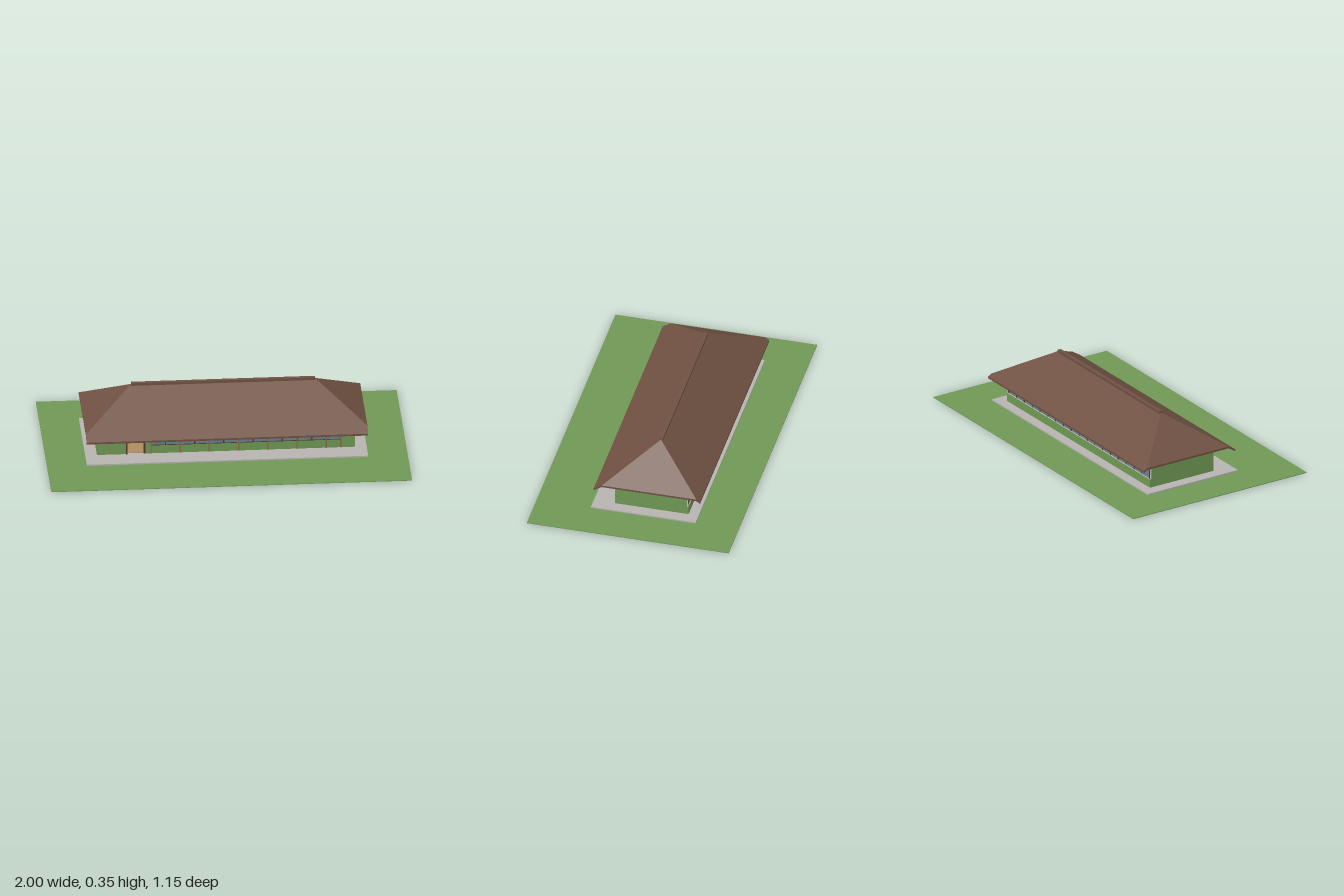
import * as THREE from 'three';

export function createModel() {
  const model = new THREE.Group();
  model.name = 'longHouse';

  const mat = (name, color) => {
    const m = new THREE.MeshStandardMaterial({ color });
    m.name = name;
    return m;
  };
  const grass = mat('grass green', 0x6f9755);
  const wallGreen = mat('wall green', 0x6f9853);
  const concrete = mat('concrete grey', 0xb6b3b1);
  const roofBrown = mat('roof brown', 0x6f5142);
  const darkWood = mat('dark wood', 0x4e382c);
  const postWood = mat('post wood', 0x8a6a48);
  const floorWood = mat('floor wood', 0xb08c60);
  const glass = mat('glass blue', 0x6a7f90);
  const pale = mat('pale trim', 0xcbbcb2);

  // Box given by its minimum and maximum along each axis
  const box = (name, material, x0, x1, y0, y1, z0, z1, parent = model) => {
    const mesh = new THREE.Mesh(new THREE.BoxGeometry(x1 - x0, y1 - y0, z1 - z0), material);
    mesh.position.set((x0 + x1) / 2, (y0 + y1) / 2, (z0 + z1) / 2);
    mesh.name = name;
    parent.add(mesh);
    return mesh;
  };
  const group = (name) => {
    const g = new THREE.Group();
    g.name = name;
    model.add(g);
    return g;
  };

  // Ground and paved base
  box('lawn', grass, -1, 1, 0, 0.004, -0.575, 0.575);
  box('pavedBase', concrete, -0.78, 0.78, 0.004, 0.012, -0.332, 0.265);
  box('floor', floorWood, -0.705, 0.705, 0.012, 0.014, -0.265, 0.135);

  const W = 0.715, F = 0.145, B = -0.275, T = 0.01;
  const base = 0.012, sill = 0.06, head = 0.135, top = 0.19;

  // Walls: solid ends, front with an open entry and a window band, low back wall
  const walls = group('walls');
  for (const s of [-1, 1]) {
    const x = s * (W - T / 2);
    box('endWall', wallGreen, x - T / 2, x + T / 2, base, top, B + T, F, walls);
  }
  const first = -0.416, last = 0.637, inner = W - T;
  box('frontWallLeftOfEntry', wallGreen, -inner, -0.55, base, head, F - T, F, walls);
  box('frontWallRightOfEntry', wallGreen, -0.45, first, base, head, F - T, F, walls);
  box('frontWallUnderWindows', wallGreen, first, last, base, sill, F - T, F, walls);
  box('frontWallEnd', wallGreen, last, inner, base, head, F - T, F, walls);
  box('frontWallTop', wallGreen, -inner, inner, head, top, F - T, F, walls);
  box('backWallUnderWindows', wallGreen, -W, W, base, sill, B, B + T, walls);
  box('backWallTop', wallGreen, -inner, inner, 0.145, top, B + T, B + 2 * T, walls);

  // Front windows: thirteen framed panes, with a full post at every second one
  const frontWindows = group('frontWindows');
  const count = 13, pitch = (last - first) / count;
  for (let i = 0; i < count; i++) {
    const x = first + i * pitch;
    box('pane', glass, x + 0.004, x + pitch - 0.004, sill + 0.003, head, F - 0.007, F - 0.002, frontWindows);
  }
  for (let i = 0; i <= count; i++) {
    const x = first + i * pitch;
    box('mullion', darkWood, x - 0.004, x + 0.004, sill, head, F - 0.009, F, frontWindows);
    if (i % 2 === 0 || i === count) {
      box('post', postWood, x - 0.0035, x + 0.0035, base, head, F, F + 0.003, frontWindows);
    }
  }
  box('windowSill', darkWood, first, last, sill, sill + 0.003, F - 0.008, F + 0.001, frontWindows);

  // Entry frame and a small lamp on the wall beside it
  const entry = group('entry');
  for (const x of [-0.55, -0.45]) {
    box('doorPost', darkWood, x - 0.005, x + 0.005, base, head, F - T, F + 0.003, entry);
  }
  box('doorHead', darkWood, -0.545, -0.455, head - 0.006, head, F - T, F + 0.003, entry);
  box('wallLamp', pale, -0.66, -0.632, 0.118, 0.128, F, F + 0.006, entry);

  // Back windows: a continuous band, nine bays of two panes
  const backWindows = group('backWindows');
  const panes = 18, bay = (2 * inner) / panes;
  for (let i = 0; i < panes; i++) {
    const x = -inner + i * bay;
    box('pane', glass, x + 0.003, x + bay - 0.003, sill + 0.003, 0.145, B + 0.005, B + 0.01, backWindows);
  }
  for (let i = 0; i <= panes; i++) {
    const x = -inner + i * bay, w = i % 2 ? 0.002 : 0.0045;
    box('mullion', darkWood, x - w, x + w, sill, 0.145, B + 0.003, B + 0.011, backWindows);
  }
  box('windowSill', pale, -W, W, sill, sill + 0.003, B + 0.001, B + 0.012, backWindows);
  for (const s of [-1, 1]) {
    const x = s * (W - 0.002);
    box('endJamb', pale, x - 0.002, x + 0.002, sill + 0.003, 0.145, B + 0.003, B + T, backWindows);
  }

  // Hipped roof: planes of one pitch, lower at the front eave, with a thin shell
  const ridgeY = 0.34, ridgeZ = -0.066, slope = 0.635, ridgeX = 0.51, eaveX = 0.78, thick = 0.011;
  const onRoof = (x, z) => [x, ridgeY - slope * Math.abs(z - ridgeZ), z];
  const run = eaveX - ridgeX;
  const ridgeL = onRoof(-ridgeX, ridgeZ), ridgeR = onRoof(ridgeX, ridgeZ);
  const rim = [
    onRoof(-eaveX, ridgeZ + run), onRoof(-eaveX, 0.25), onRoof(eaveX, 0.25), onRoof(eaveX, ridgeZ + run),
    onRoof(eaveX, ridgeZ - run), onRoof(eaveX, -0.357), onRoof(-eaveX, -0.357), onRoof(-eaveX, ridgeZ - run),
  ];
  const planes = [
    [ridgeL, rim[0], rim[1], rim[2], rim[3], ridgeR],
    [ridgeR, rim[3], rim[4]],
    [ridgeR, rim[4], rim[5], rim[6], rim[7], ridgeL],
    [ridgeL, rim[7], rim[0]],
  ];
  const lower = ([x, y, z]) => [x, y - thick, z];
  const verts = [];
  const fan = (p) => {
    for (let i = 1; i < p.length - 1; i++) verts.push(...p[0], ...p[i], ...p[i + 1]);
  };
  for (const p of planes) {
    fan(p);
    fan(p.map(lower).reverse());
  }
  rim.forEach((a, i) => {
    const b = rim[(i + 1) % rim.length];
    fan([lower(a), lower(b), b, a]);
  });
  const roofGeometry = new THREE.BufferGeometry();
  roofGeometry.setAttribute('position', new THREE.Float32BufferAttribute(verts, 3));
  roofGeometry.computeVertexNormals();
  const roof = new THREE.Mesh(roofGeometry, roofBrown);
  roof.name = 'roof';
  model.add(roof);
  box('ridgeCap', roofBrown, -ridgeX, ridgeX, 0.332, 0.348, ridgeZ - 0.011, ridgeZ + 0.011);

  return model;
}
